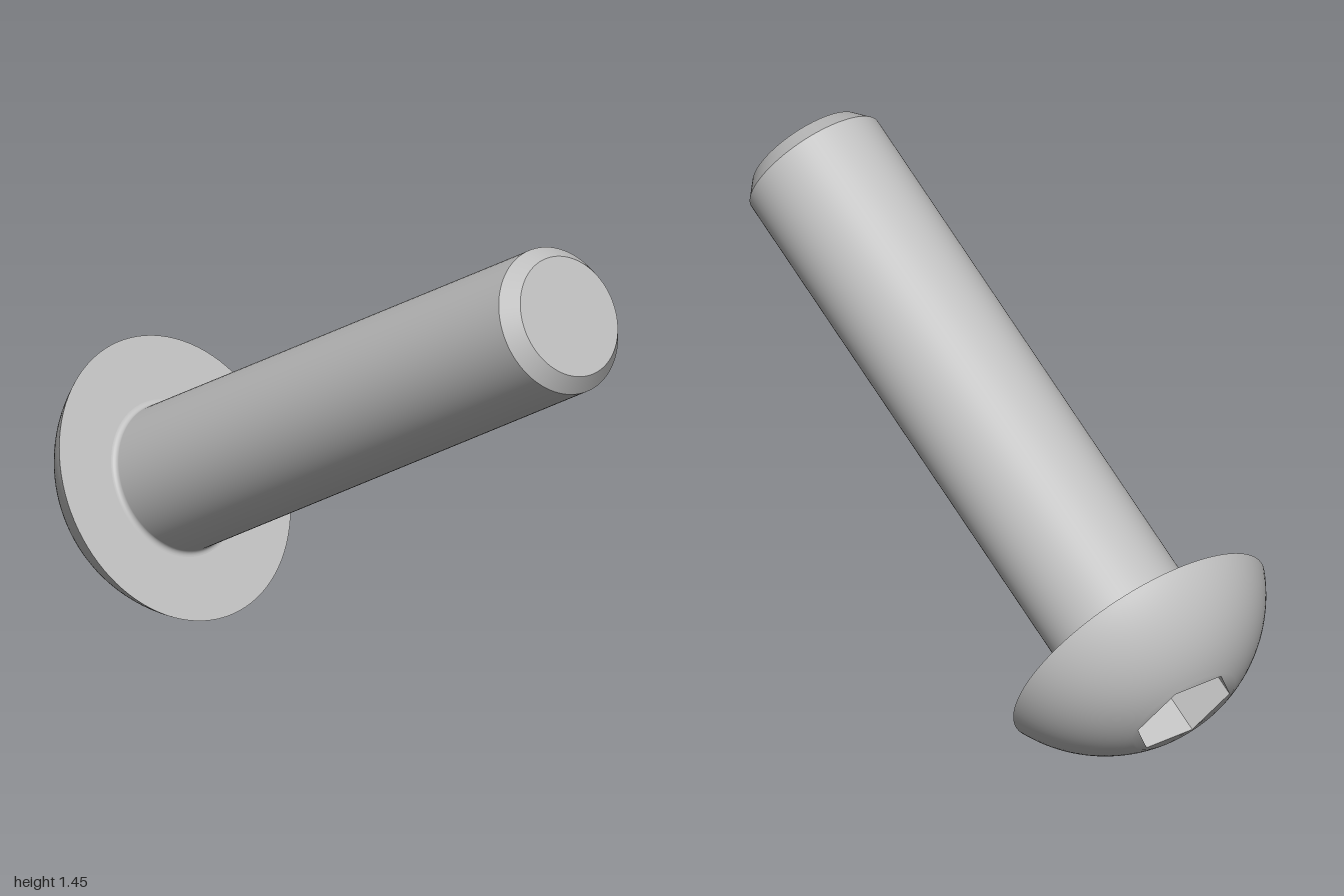
import * as THREE from 'three';

const SEG = 96;
const RIM = 0.434, LAND = 0.178, HEAD = 0.25;            // button head
const SHAFT = 0.224, TIP = 0.183, LENGTH = 1.86, CHAMFER = 0.05, FILLET = 0.016;
const HEX = 0.168, DEPTH = 0.13;                          // hexagonal socket
// centre and radius of the sphere the dome is cut from
const CY = (RIM * RIM - LAND * LAND - HEAD * HEAD) / (2 * HEAD);
const R = Math.hypot(RIM, CY);

export function createModel() {
  const steel = new THREE.MeshStandardMaterial({ color: 0xc0c0c0 });
  steel.name = 'steel grey';

  const model = new THREE.Group();
  model.name = 'buttonHeadBolt';
  const bolt = new THREE.Group();
  bolt.name = 'bolt';
  model.add(bolt);

  const add = (name, geometry) => {
    const mesh = new THREE.Mesh(geometry, steel);
    mesh.name = name;
    bolt.add(mesh);
  };
  const lathe = (pts) =>
    new THREE.LatheGeometry(pts.map(([x, y]) => new THREE.Vector2(x, y)), SEG);

  // Domed head, from the flat land out to the rim
  const a0 = Math.asin(LAND / R), a1 = Math.asin(RIM / R);
  const dome = [];
  for (let i = 0; i <= 20; i++) {
    const a = a0 + (a1 - a0) * i / 20;
    dome.push([R * Math.sin(a), CY - R * Math.cos(a)]);
  }
  add('headDome', lathe(dome));
  add('headUnderside', lathe([[RIM, 0], [SHAFT + FILLET, 0]]));

  // Shaft with a small fillet at its root
  const shaft = [];
  for (let i = 0; i <= 6; i++) {
    const a = Math.PI / 2 * i / 6;
    shaft.push([SHAFT + FILLET * (1 - Math.sin(a)), FILLET * (1 - Math.cos(a))]);
  }
  shaft.push([SHAFT, LENGTH - CHAMFER]);
  add('shaft', lathe(shaft));
  add('tipChamfer', lathe([[SHAFT, LENGTH - CHAMFER], [TIP, LENGTH]]));
  add('tipFace', lathe([[TIP, LENGTH], [0, LENGTH]]));

  // Narrow land around the socket, its normals blended into the dome
  const ring = new THREE.Shape().absarc(0, 0, LAND, 0, Math.PI * 2, false);
  const corners = [];
  for (let i = 0; i < 6; i++) {
    const a = -i * Math.PI / 3;
    corners.push(new THREE.Vector2(HEX * Math.cos(a), HEX * Math.sin(a)));
  }
  ring.holes.push(new THREE.Path(corners));
  const land = new THREE.ShapeGeometry(ring, SEG / 2);
  land.rotateX(Math.PI / 2).translate(0, -HEAD, 0);
  const p = land.attributes.position, n = new THREE.Vector3();
  for (let i = 0; i < p.count; i++) {
    n.set(p.getX(i), p.getY(i) - CY, p.getZ(i)).normalize();
    land.attributes.normal.setXYZ(i, n.x, n.y, n.z);
  }
  add('headLand', land);

  // Hexagonal socket: inward-facing walls and a floor
  const walls = new THREE.CylinderGeometry(HEX, HEX, DEPTH, 6, 1, true, Math.PI / 2)
    .toNonIndexed();
  walls.scale(-1, 1, 1).translate(0, -HEAD + DEPTH / 2, 0);
  walls.computeVertexNormals();
  add('socketWalls', walls);
  const floor = new THREE.CircleGeometry(HEX, 6);
  floor.rotateX(Math.PI / 2).translate(0, -HEAD + DEPTH, 0);
  add('socketFloor', floor);

  // Lean the bolt so its tip points forward and up
  bolt.rotation.x = 1.066;
  bolt.position.set(0, 0.382, -0.69);
  return model;
}
